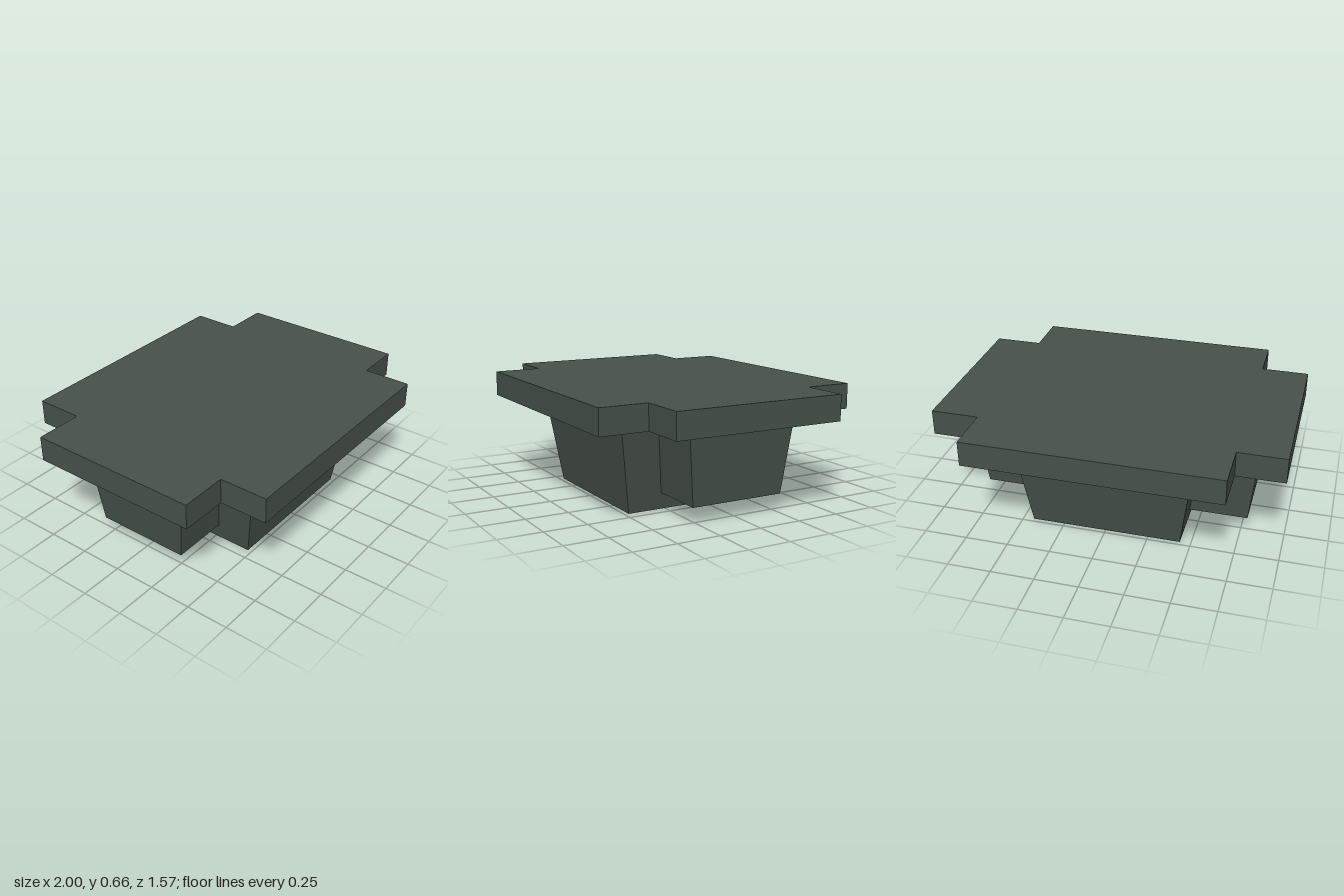
import * as THREE from 'three';

const PLATE_BOTTOM = 0.513;
const PLATE_TOP = 0.66;

// Box whose bottom face is narrower than its top face (half sizes given)
function taperedBlock(topX, topZ, bottomX, bottomZ, y0, y1) {
  const geo = new THREE.BoxGeometry(2, y1 - y0, 2);
  geo.translate(0, (y0 + y1) / 2, 0);
  const pos = geo.attributes.position;
  for (let i = 0; i < pos.count; i++) {
    const top = pos.getY(i) > (y0 + y1) / 2;
    pos.setX(i, pos.getX(i) * (top ? topX : bottomX));
    pos.setZ(i, pos.getZ(i) * (top ? topZ : bottomZ));
  }
  geo.computeVertexNormals();
  return geo;
}

// Cross-shaped slab: a long plate with wider front and back edges notched at the corners
function crossPlate(longX, shortX, longZ, shortZ) {
  const outline = [
    [longX, -shortZ], [longX, shortZ], [shortX, shortZ], [shortX, longZ],
    [-shortX, longZ], [-shortX, shortZ], [-longX, shortZ], [-longX, -shortZ],
    [-shortX, -shortZ], [-shortX, -longZ], [shortX, -longZ], [shortX, -shortZ],
  ];
  const shape = new THREE.Shape(outline.map(([x, z]) => new THREE.Vector2(x, z)));
  const geo = new THREE.ExtrudeGeometry(shape, { depth: PLATE_TOP - PLATE_BOTTOM, bevelEnabled: false });
  geo.rotateX(-Math.PI / 2);
  geo.translate(0, PLATE_BOTTOM, 0);
  return geo;
}

export function createModel() {
  const model = new THREE.Group();
  model.name = 'pedestalSlab';
  const stone = new THREE.MeshStandardMaterial({ color: 0x465049, flatShading: true });
  stone.name = 'dark grey green';

  const add = (name, geometry) => {
    const mesh = new THREE.Mesh(geometry, stone);
    mesh.name = name;
    model.add(mesh);
  };

  add('topPlate', crossPlate(1, 0.725, 0.787, 0.507));
  add('centreBlock', taperedBlock(0.508, 0.552, 0.437, 0.475, 0, PLATE_BOTTOM));
  // Wide, shallower block passing through the centre and showing on both sides
  add('sideBlocks', taperedBlock(0.83, 0.328, 0.787, 0.28, 0.095, PLATE_BOTTOM));

  return model;
}
